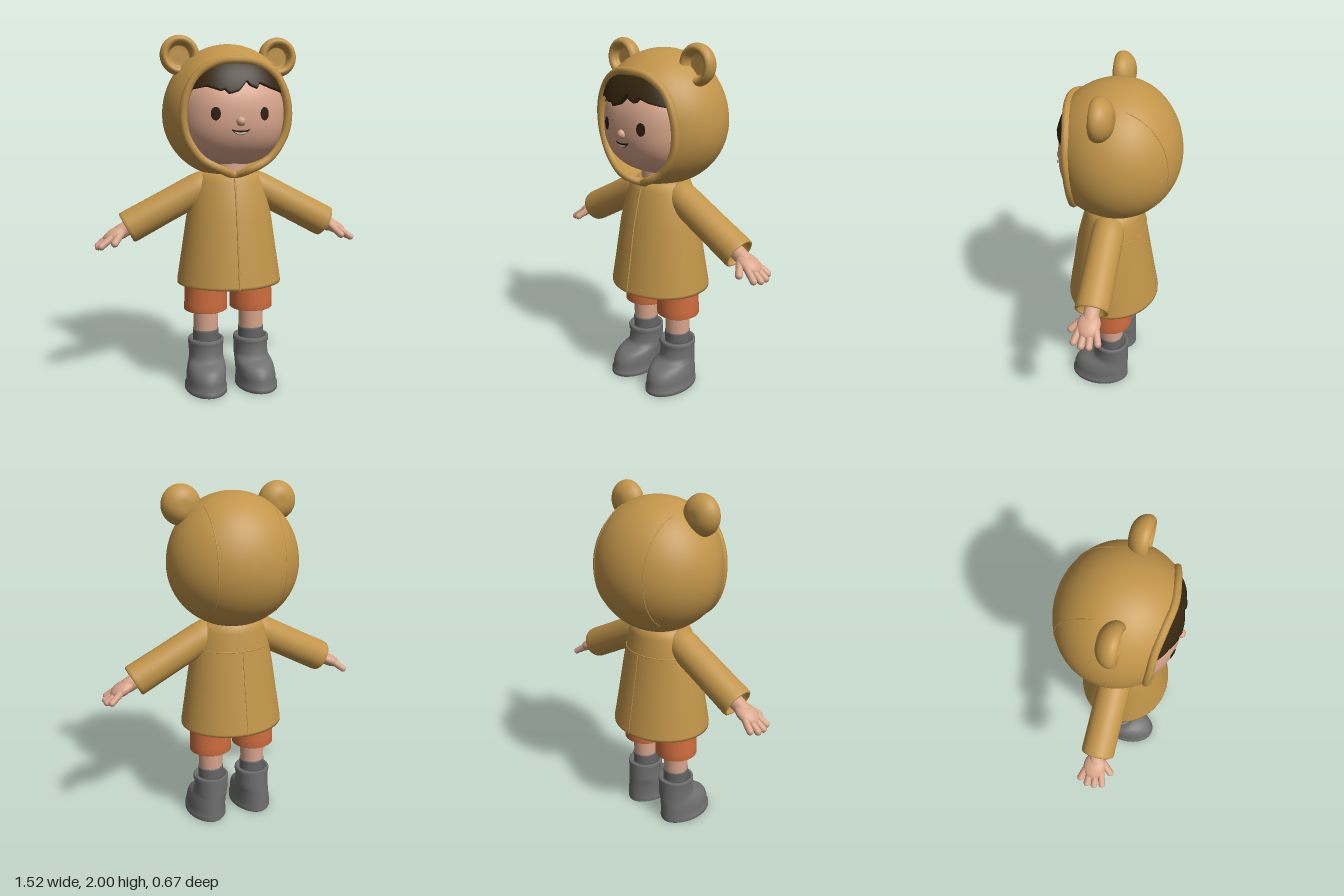
import * as THREE from 'three';

const mat = (name, color, side = THREE.FrontSide) => {
  const m = new THREE.MeshStandardMaterial({ color, side });
  m.name = name;
  return m;
};
const V = (x, y, z) => new THREE.Vector3(x, y, z);

// Smooth surface from a rule; outward normal is row direction x column direction
function grid(rows, cols, wrap, fn) {
  const pos = [], idx = [], n = wrap ? cols : cols + 1;
  for (let i = 0; i <= rows; i++)
    for (let j = 0; j < n; j++) pos.push(...fn(i, j));
  for (let i = 0; i < rows; i++)
    for (let j = 0; j < cols; j++) {
      const k = (j + 1) % n, a = i * n + j, b = a + n, c = i * n + k, d = c + n;
      idx.push(a, b, c, b, d, c);
    }
  const g = new THREE.BufferGeometry();
  g.setAttribute('position', new THREE.Float32BufferAttribute(pos, 3));
  g.setIndex(idx);
  g.computeVertexNormals();
  return g;
}

// Stack of elliptical sections: [y, centre x, centre z, radius x, radius z]
const loft = (levels, n = 48) => grid(levels.length - 1, n, true, (i, j) => {
  const [y, cx, cz, rx, rz] = levels[i], t = (j / n) * Math.PI * 2;
  return [cx + rx * Math.cos(t), y, cz + rz * Math.sin(t)];
});

// Head is a softly squared ellipsoid
const HEAD = { y: 1.565, rx: 0.31, ry: 0.28, rz: 0.315, n: 2.4 };
const bulge = (x, y, rx, ry, rz) =>
  rz * Math.max(0, 1 - Math.abs(x / rx) ** HEAD.n - Math.abs((y - HEAD.y) / ry) ** HEAD.n) ** (1 / HEAD.n);
const faceZ = (x, y) => bulge(x, y, HEAD.rx, HEAD.ry, HEAD.rz);

// Hood ellipsoid
const HOOD = { y: 1.57, rx: 0.37, up: 0.39, down: 0.35, rz: 0.335 };
function hoodPoint(du, dv, phi) {
  const front = HOOD.rz + 0.04 * Math.max(0, dv) + 0.12 * Math.max(0, -dv) ** 3;
  const s = Math.sin(phi), c = -Math.cos(phi);
  return V(HOOD.rx * s * du, HOOD.y + (dv > 0 ? HOOD.up : HOOD.down) * s * dv, (c > 0 ? front : HOOD.rz) * c);
}

// Coat sections, inner hem first
const COAT = [
  [0.62, 0, 0.033, 0.3, 0.267], [0.635, 0, 0.033, 0.3, 0.267], [0.8, 0, 0.034, 0.275, 0.238],
  [1.0, 0, 0.035, 0.245, 0.205], [1.12, 0, 0.03, 0.22, 0.18], [1.2, 0, 0.025, 0.198, 0.162],
  [1.24, 0, 0.022, 0.175, 0.15], [1.26, 0, 0.02, 0.13, 0.115], [1.265, 0, 0.02, 0.001, 0.001]];
function coatPoint(y, t) {
  let i = 0;
  while (i < COAT.length - 2 && COAT[i + 1][0] < y) i++;
  const a = COAT[i], b = COAT[i + 1], k = (y - a[0]) / (b[0] - a[0]);
  const [, , cz, rx, rz] = a.map((v, q) => v + (b[q] - v) * k);
  return V(rx * Math.cos(t), y, cz + rz * Math.sin(t));
}

export function createModel() {
  const root = new THREE.Group();
  root.name = 'childInBearCoat';
  const coat = mat('coat mustard', 0xc2954a, THREE.DoubleSide);
  const skin = mat('skin', 0xd9a68c);
  const hairMat = mat('hair dark brown', 0x35260f, THREE.DoubleSide);
  const eyeMat = mat('eye brown', 0x2e1c10);
  const white = mat('teeth white', 0xf0e8e0);
  const orange = mat('shorts orange', 0xcf6d3e);
  const bootMat = mat('boot grey', 0x707070);
  const sockMat = mat('sock grey', 0x666666);

  const add = (name, geo, m, parent = root) => {
    const mesh = new THREE.Mesh(geo, m);
    mesh.name = name;
    parent.add(mesh);
    return mesh;
  };
  const tube = (name, pts, r, m, closed = false, seg = 40) =>
    add(name, new THREE.TubeGeometry(new THREE.CatmullRomCurve3(pts, closed), seg, r, 8, closed), m);
  const capsule = (name, a, b, r, parent) => {
    const d = b.clone().sub(a);
    const mesh = add(name, new THREE.CapsuleGeometry(r, d.length(), 6, 14), skin, parent);
    mesh.position.copy(a).addScaledVector(d, 0.5);
    mesh.quaternion.setFromUnitVectors(V(0, 1, 0), d.normalize());
  };

  // Head and neck
  const head = new THREE.SphereGeometry(1, 64, 48), p = head.attributes.position;
  for (let i = 0; i < p.count; i++) {
    const v = V().fromBufferAttribute(p, i);
    const k = (Math.abs(v.x) ** HEAD.n + Math.abs(v.y) ** HEAD.n + Math.abs(v.z) ** HEAD.n) ** (-1 / HEAD.n);
    p.setXYZ(i, v.x * k * HEAD.rx, HEAD.y + v.y * k * HEAD.ry, v.z * k * HEAD.rz);
  }
  head.computeVertexNormals();
  add('head', head, skin);
  add('neck', new THREE.CylinderGeometry(0.1, 0.1, 0.14, 32), skin).position.set(0, 1.26, 0.04);
  const nose = add('nose', new THREE.SphereGeometry(0.025, 20, 14), skin);
  nose.position.set(0, 1.535, 0.313);

  // Facial features laid on the curve of the face
  const decal = (name, geo, m, lift) => {
    const q = geo.attributes.position;
    for (let i = 0; i < q.count; i++) q.setZ(i, faceZ(q.getX(i), q.getY(i)) + lift);
    geo.computeVertexNormals();
    add(name, geo, m);
  };
  for (const s of [1, -1])
    decal('eye', new THREE.CircleGeometry(1, 28).scale(0.025, 0.035, 1).translate(s * 0.132, 1.575, 0), eyeMat, 0.005);
  const smile = (w, top, mid, low) => {
    const sh = new THREE.Shape();
    sh.moveTo(-w, top);
    sh.quadraticCurveTo(0, low, w, top);
    sh.quadraticCurveTo(0, mid, -w, top);
    return new THREE.ShapeGeometry(sh, 16);
  };
  decal('mouth', smile(0.052, 1.495, 1.478, 1.432), eyeMat, 0.004);
  decal('teeth', smile(0.038, 1.483, 1.473, 1.449), white, 0.007);

  // Fringe with pointed locks
  const edge = [[-0.27, 1.66], [-0.245, 1.7], [-0.17, 1.715], [-0.1, 1.69], [-0.085, 1.7], [-0.06, 1.675], [-0.01, 1.69],
    [0.035, 1.745], [0.055, 1.72], [0.09, 1.705], [0.105, 1.735], [0.17, 1.71], [0.25, 1.69], [0.27, 1.66]];
  const fringe = x => {
    const i = Math.max(1, edge.findIndex(e => e[0] >= x - 1e-6));
    const [a, b] = [edge[i - 1], edge[i]];
    return a[1] + (b[1] - a[1]) * (x - a[0]) / (b[0] - a[0]);
  };
  add('hairFringe', grid(11, 72, false, (i, j) => {
    const x = -0.27 + 0.54 * j / 72, top = 1.85 - 1.6 * x * x, low = fringe(x);
    const y = top + (low - top) * Math.min(1, i / 10);
    return [x, y, bulge(x, y, 0.325, 0.38, 0.33) - (i > 10 ? 0.035 : 0)];
  }), hairMat);

  // Hood shell running from the back to the face opening, with a rolled rim
  const half = [[0, 1.855], [0.12, 1.838], [0.225, 1.765], [0.283, 1.63], [0.275, 1.47], [0.195, 1.34], [0.08, 1.275]];
  const outline = new THREE.CatmullRomCurve3([
    ...half.map(([x, y]) => V(x, y, 0)), V(0, 1.245, 0),
    ...half.slice(1).reverse().map(([x, y]) => V(-x, y, 0))], true);
  const columns = outline.getPoints(80).slice(0, 80).map(({ x, y }) => {
    const u = x / HOOD.rx, v = (y - HOOD.y) / (y > HOOD.y ? HOOD.up : HOOD.down), rho = Math.hypot(u, v);
    return [u / rho, v / rho, Math.PI - Math.asin(rho)];
  });
  add('hood', grid(40, 80, true, (i, j) => {
    const [du, dv, phi] = columns[j];
    return hoodPoint(du, dv, Math.max(0.002, phi * i / 40)).toArray();
  }), coat);
  tube('hoodRim', columns.map(c => hoodPoint(...c)), 0.022, coat, true, 140);

  for (const s of [1, -1]) {
    // Hood seam
    const seam = [];
    for (let a = 75; a >= -55; a -= 10) {
      const r = a * Math.PI / 180, c = 0.858;
      seam.push(V(s * 0.19, HOOD.y + (a > 0 ? HOOD.up : HOOD.down) * c * Math.sin(r), -HOOD.rz * c * Math.cos(r)));
    }
    tube('hoodSeam', seam, 0.003, coat);

    // Bear ear: domed back, raised ring and hollow front
    const profile = [[0, -0.032], [0.04, -0.03], [0.075, -0.015], [0.1, 0.012], [0.109, 0.04], [0.104, 0.063],
      [0.09, 0.077], [0.075, 0.074], [0.064, 0.06], [0.058, 0.035], [0.045, 0.03], [0, 0.03]];
    const spline = new THREE.SplineCurve(profile.map(([r, y]) => new THREE.Vector2(r, y)));
    const pts = spline.getPoints(44);
    pts.forEach(q => { q.x = Math.max(0, q.x); });
    const ear = add('hoodEar', new THREE.LatheGeometry(pts, 40), coat);
    ear.rotation.x = Math.PI / 2;
    ear.position.set(s * 0.278, 1.891, 0);
  }

  // Coat with a hollow hem, front opening and back seams
  add('coatBody', loft([[0.78, 0, 0.033, 0.001, 0.001], [0.78, 0, 0.033, 0.255, 0.22],
    [0.64, 0, 0.033, 0.28, 0.247], [0.62, 0, 0.033, 0.285, 0.252], ...COAT], 64), coat);
  const line = (t, y0, y1) => Array.from({ length: 13 }, (_, i) => coatPoint(y0 + (y1 - y0) * i / 12, t));
  tube('frontOpening', line(Math.PI / 2, 0.622, 1.24), 0.005, coat);
  tube('backSeam', line(-Math.PI / 2, 0.622, 1.1), 0.003, coat);
  tube('yokeSeam', Array.from({ length: 17 }, (_, i) => coatPoint(1.1, -Math.PI * (0.14 + 0.72 * i / 16))), 0.003, coat);

  // Arms: local +x runs from shoulder to fingertips
  for (const s of [1, -1]) {
    const side = new THREE.Group();
    side.name = s > 0 ? 'leftArm' : 'rightArm';
    side.position.set(s * 0.12, 1.188, 0.027);
    side.rotation.y = s > 0 ? 0 : Math.PI;
    const arm = new THREE.Group();
    arm.name = 'armPose';
    arm.rotation.z = -0.482;
    side.add(arm);
    root.add(side);
    const profile = [[0, -0.03], [0.06, -0.02], [0.086, 0.02], [0.09, 0.08], [0.09, 0.3], [0.092, 0.505],
      [0.09, 0.52], [0.084, 0.524], [0.076, 0.52], [0.073, 0.48], [0, 0.48]];
    const sleeve = add('sleeve', new THREE.LatheGeometry(profile.map(q => new THREE.Vector2(...q)), 40), coat, arm);
    sleeve.rotation.z = -Math.PI / 2;
    capsule('wrist', V(0.47, 0, 0), V(0.56, -0.002, 0), 0.042, arm);
    const palm = add('palm', new THREE.SphereGeometry(1, 28, 20), skin, arm);
    palm.scale.set(0.075, 0.036, 0.062);
    palm.position.set(0.595, 0, 0);
    for (const [z, len] of [[-1.5, 0.685], [-0.5, 0.707], [0.5, 0.708], [1.5, 0.692]])
      capsule('finger', V(0.615, 0, s * z * 0.028), V(len, -0.012, s * z * 0.042), 0.019, arm);
    capsule('thumb', V(0.56, -0.005, s * 0.035), V(0.62, -0.028, s * 0.092), 0.02, arm);
  }

  // Shorts, legs, socks and boots
  add('shortsSeat', loft([[0.585, 0, 0.02, 0.001, 0.001], [0.59, 0, 0.02, 0.15, 0.09], [0.61, 0, 0.02, 0.235, 0.114],
    [0.66, 0, 0.02, 0.25, 0.12], [0.79, 0, 0.025, 0.24, 0.13]]), orange);
  for (const s of [1, -1]) {
    const x = s * 0.136;
    add('shortsLeg', loft([[0.48, x, 0.022, 0.001, 0.001], [0.48, x, 0.022, 0.1, 0.1], [0.46, x, 0.022, 0.108, 0.106],
      [0.453, x, 0.022, 0.118, 0.116], [0.458, x, 0.022, 0.125, 0.122], [0.5, x, 0.022, 0.124, 0.121],
      [0.68, x * 0.96, 0.022, 0.122, 0.12]]), orange);
    add('leg', new THREE.CylinderGeometry(0.074, 0.07, 0.24, 32), skin).position.set(x, 0.42, 0.024);
    add('sock', loft([[0.24, x, 0.024, 0.074, 0.074], [0.33, x, 0.024, 0.075, 0.075], [0.338, x, 0.024, 0.074, 0.074],
      [0.34, x, 0.024, 0.06, 0.06]], 32), sockMat);

    // Boot sections: [y, front z, half width, outward shift], heel kept upright
    const sections = [[0, 0.26, 0.11, 0.014], [0.004, 0.272, 0.12, 0.014], [0.028, 0.272, 0.12, 0.014],
      [0.034, 0.26, 0.111, 0.013], [0.07, 0.262, 0.113, 0.012], [0.1, 0.252, 0.112, 0.01], [0.125, 0.235, 0.11, 0.007],
      [0.143, 0.21, 0.107, 0.004], [0.155, 0.178, 0.104, 0.002], [0.168, 0.145, 0.101, 0], [0.19, 0.128, 0.1, 0],
      [0.25, 0.126, 0.1, 0], [0.256, 0.132, 0.105, 0], [0.275, 0.132, 0.105, 0], [0.283, 0.126, 0.1, 0]];
    const levels = sections.map(([y, f, w, o]) => [y, x + s * o, (f - 0.083) / 2, w, (f + 0.083) / 2]);
    add('boot', loft([[0, x + s * 0.014, 0.09, 0.001, 0.001], ...levels,
      [0.283, x, 0.024, 0.084, 0.084], [0.25, x, 0.024, 0.078, 0.078], [0.25, x, 0.024, 0.001, 0.001]]), bootMat);
  }
  return root;
}
